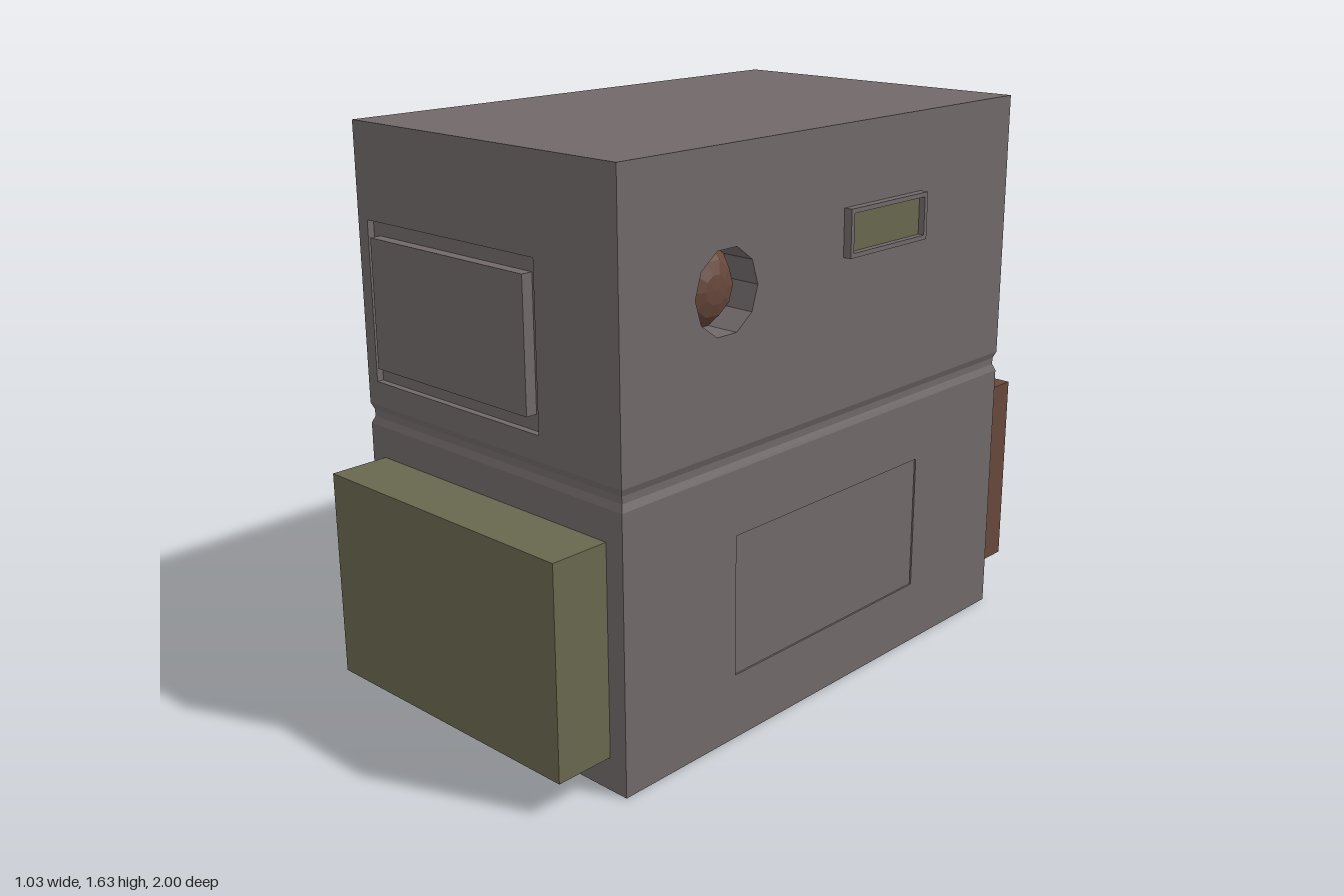
import * as THREE from 'three';

const material = (name, color) => {
  const m = new THREE.MeshStandardMaterial({ color });
  m.name = name;
  return m;
};

export function createModel() {
  const model = new THREE.Group();
  model.name = 'cabinet';
  const grey = material('warm grey', 0x706869);
  const olive = material('olive', 0x68674e);
  const brown = material('rust brown', 0x67473b);

  const add = (name, geometry, mat) => {
    const mesh = new THREE.Mesh(geometry, mat);
    mesh.name = name;
    model.add(mesh);
    return mesh;
  };

  // box given by its limits on each axis
  const block = (name, mat, [x0, x1], [y0, y1], [z0, z1]) => {
    const mesh = add(name, new THREE.BoxGeometry(x1 - x0, y1 - y0, z1 - z0), mat);
    mesh.position.set((x0 + x1) / 2, (y0 + y1) / 2, (z0 + z1) / 2);
    return mesh;
  };

  const rect = (u0, u1, v0, v1) =>
    [[u0, v0], [u1, v0], [u1, v1], [u0, v1]].map(([u, v]) => new THREE.Vector2(u, v));

  // slab with openings, extruded along its local z
  const slab = (name, outline, holes, depth) => {
    const shape = new THREE.Shape(outline);
    for (const h of holes) shape.holes.push(new THREE.Path(h));
    return add(name, new THREE.ExtrudeGeometry(shape, { depth, bevelEnabled: false }), grey);
  };
  // the same slab turned to face +x; u runs along -z
  const sideSlab = (name, outline, holes, x0, x1) => {
    const mesh = slab(name, outline, holes, x1 - x0);
    mesh.rotation.y = Math.PI / 2;
    mesh.position.x = x0;
    return mesh;
  };

  const L = -0.515, R = 0.49, B = -0.8, F = 0.825, top = 1.63;

  // lower body with a shallow sunken panel on the left side
  block('lowerBody', grey, [L, R - 0.005], [0, 0.78], [B, F]);
  sideSlab('lowerSideWall', rect(-F, -B, 0, 0.78), [rect(-0.41, 0.39, 0.19, 0.595)], R - 0.005, R);

  // pinched groove between the two halves
  const groove = new THREE.BoxGeometry(R - L, 0.06, F - B, 1, 3, 1);
  const p = groove.attributes.position;
  for (let i = 0; i < p.count; i++) {
    if (Math.abs(p.getY(i)) < 0.02) {
      p.setX(i, p.getX(i) - Math.sign(p.getX(i)) * 0.008);
      p.setZ(i, p.getZ(i) - Math.sign(p.getZ(i)) * 0.008);
    }
  }
  const flatGroove = groove.toNonIndexed();
  flatGroove.computeVertexNormals();
  add('groove', flatGroove, grey).position.set((L + R) / 2, 0.81, (B + F) / 2);

  // upper body: core, front wall with a recess, side wall with a round port
  const inF = F - 0.02, inR = R - 0.1;
  block('upperBody', grey, [L, inR], [0.84, top], [B, inF]);
  slab('upperFrontWall', rect(L, R, 0.84, top), [rect(-0.475, 0.195, 0.91, 1.365)], 0.02)
    .position.z = inF;
  const port = Array.from({ length: 10 }, (_, i) => {
    const a = i * Math.PI / 5;
    return new THREE.Vector2(-0.45 + 0.116 * Math.cos(a), 1.26 + 0.116 * Math.sin(a));
  });
  sideSlab('upperSideWall', rect(-inF, -B, 0.84, top), [port], inR, R);

  // raised panel in the front recess
  block('frontPanel', grey, [-0.448, 0.167], [0.955, 1.322], [inF, 0.838]);

  // faceted dome inside the round port
  const profile = [[0.116, 0], [0.075, 0.05], [0.04, 0.062], [0, 0.066]]
    .map(([r, y]) => new THREE.Vector2(r, y));
  const domeGeometry = new THREE.LatheGeometry(profile, 10).toNonIndexed();
  domeGeometry.computeVertexNormals();
  const dome = add('portDome', domeGeometry, brown);
  dome.rotation.z = -Math.PI / 2;
  dome.position.set(inR + 0.002, 1.26, 0.45);

  // framed window on the left side
  sideSlab('windowFrame', rect(0.015, 0.36, 1.27, 1.405), [rect(0.028, 0.347, 1.283, 1.392)], R, 0.515);
  block('windowPane', olive, [R, R + 0.006], [1.283, 1.392], [-0.347, -0.028]);

  // large boxes on the front and back
  block('frontBox', olive, [-0.46, 0.432], [0.095, 0.69], [F, 1]);
  block('backBox', brown, [-0.46, 0.432], [0.095, 0.69], [-0.975, B]);

  // hollow socket with a plug on the back
  slab('socketFrame', rect(0.02, 0.2, 0.9, 1.18), [rect(0.04, 0.18, 0.925, 1.155)], 0.1)
    .position.z = -0.9;
  block('socketFloor', grey, [0.04, 0.18], [0.925, 1.155], [-0.86, B]);
  block('plug', grey, [0.058, 0.163], [0.96, 1.12], [-1, -0.86]);

  return model;
}
